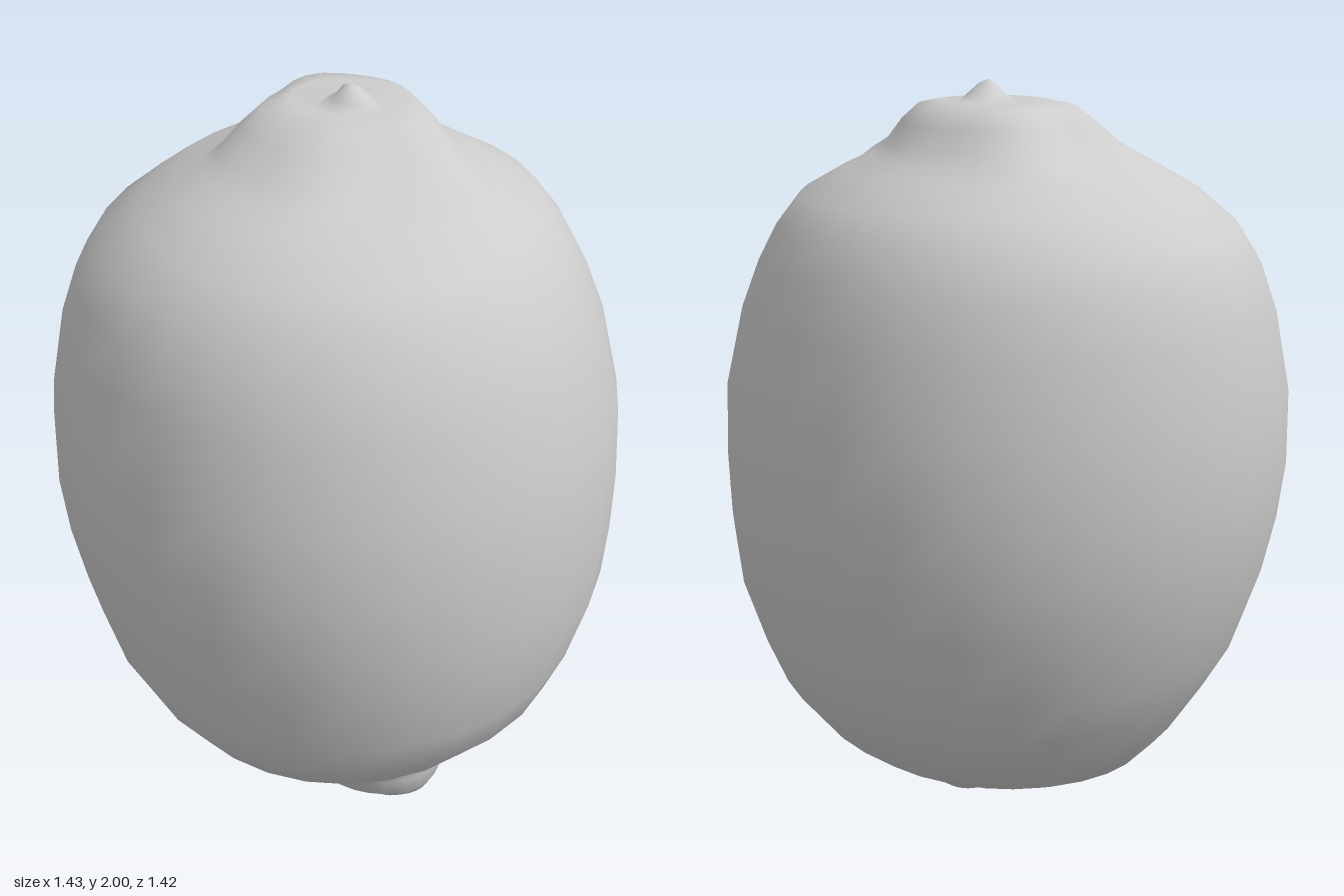
import * as THREE from 'three';
import { mergeVertices } from 'three/addons/utils/BufferGeometryUtils.js';

const SIDES = 28;

// Skin of lopsided oval rings, each [y, xMin, xMax, zMin, zMax], listed bottom to top
function loft(rings, wobble) {
  const pos = [], index = [];
  rings.forEach(([y, x0, x1, z0, z1]) => {
    for (let i = 0; i < SIDES; i++) {
      const a = (i / SIDES) * Math.PI * 2;
      const k = 1 + wobble(y, a);
      pos.push((x0 + x1) / 2 + Math.cos(a) * k * (x1 - x0) / 2, y,
        (z0 + z1) / 2 + Math.sin(a) * k * (z1 - z0) / 2);
    }
  });
  for (let r = 0; r < rings.length - 1; r++) {
    for (let i = 0; i < SIDES; i++) {
      const j = (i + 1) % SIDES;
      const a = r * SIDES + i, b = r * SIDES + j, c = a + SIDES, d = b + SIDES;
      // pointed ends are zero-size rings, so skip their collapsed triangles
      if (r > 0) index.push(a, c, b);
      if (r < rings.length - 2) index.push(b, c, d);
      if (r === 0) index.push(a, c, b);
    }
  }
  let geo = new THREE.BufferGeometry();
  geo.setAttribute('position', new THREE.Float32BufferAttribute(pos, 3));
  geo.setIndex(index);
  geo = mergeVertices(geo, 1e-4);
  geo.computeVertexNormals();
  return geo;
}

export function createModel() {
  const group = new THREE.Group();
  group.name = 'lemon';
  const peelGrey = new THREE.MeshStandardMaterial({ color: 0xcccccc });
  peelGrey.name = 'peel grey';

  // Off-centre nipple at the bottom, swelling into the body
  const nipple = [
    [0, 0.18, 0.18, 0.14, 0.14],
    [0.015, 0.12, 0.23, 0.09, 0.18],
    [0.05, 0.06, 0.285, 0.04, 0.215],
    [0.1, -0.03, 0.31, -0.02, 0.27],
    [0.15, -0.14, 0.33, -0.09, 0.295],
    [0.2, -0.29, 0.355, -0.24, 0.33],
    [0.25, -0.375, 0.41, -0.335, 0.375],
  ];
  const body = [
    [0.33, -0.45, 0.49, -0.45, 0.5],
    [0.46, -0.535, 0.6, -0.55, 0.605],
    [0.58, -0.605, 0.65, -0.605, 0.655],
    [0.75, -0.665, 0.7, -0.665, 0.69],
    [0.9, -0.7, 0.712, -0.695, 0.71],
    [1.05, -0.72, 0.715, -0.706, 0.715],
    [1.24, -0.72, 0.705, -0.706, 0.7],
    [1.44, -0.685, 0.655, -0.668, 0.645],
    [1.56, -0.645, 0.605, -0.635, 0.6],
    [1.65, -0.59, 0.555, -0.59, 0.54],
    [1.73, -0.49, 0.49, -0.53, 0.475],
  ];
  // Raised crown with a shallow dimple and a small stem nub
  const crown = [
    [1.79, -0.4, 0.38, -0.43, 0.34],
    [1.82, -0.33, 0.32, -0.39, 0.26],
    [1.85, -0.29, 0.27, -0.355, 0.2],
    [1.9, -0.245, 0.225, -0.32, 0.13],
    [1.94, -0.2, 0.175, -0.29, 0.07],
    [1.953, -0.14, 0.12, -0.23, 0.02],
    [1.945, -0.07, 0.08, -0.17, -0.02],
    [1.965, -0.03, 0.06, -0.135, -0.04],
    [1.99, -0.01, 0.03, -0.11, -0.07],
    [2, 0.01, 0.01, -0.09, -0.09],
  ];

  // Gentle lobes that only affect the crown
  const lobes = (y, a) => (y > 1.8 && y < 1.95
    ? 0.06 * Math.sin(3 * a + 0.8) + 0.04 * Math.sin(5 * a) : 0);

  const peel = new THREE.Mesh(loft([...nipple, ...body, ...crown], lobes), peelGrey);
  peel.name = 'peel';
  group.add(peel);
  return group;
}
